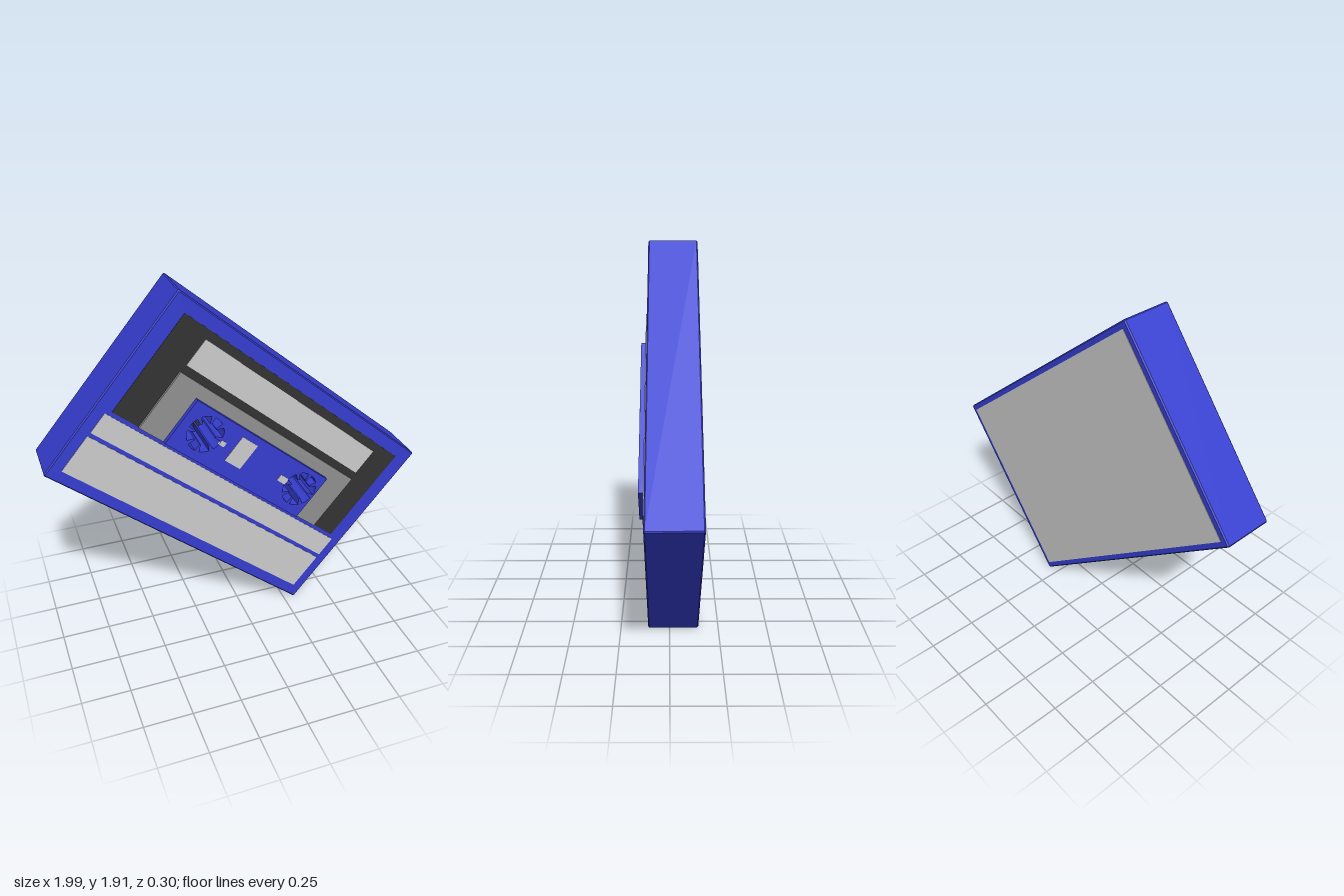
import * as THREE from 'three';

const BLUE = 0x363ed0, GREY = 0xcccccc, MID = 0x909090, DARK = 0x333333;
const HUBS = [{ x: -0.316, y: 0.04, turn: 0.2 }, { x: 0.352, y: 0.04, turn: 0 }];

const materials = {};
function material(color) {
  return materials[color] ??= new THREE.MeshStandardMaterial({ color, flatShading: true });
}

// Rectangle outline with lightly clipped corners
function rectangle(x0, x1, y0, y1, c = 0) {
  const points = c
    ? [[x0 + c, y0], [x1 - c, y0], [x1, y0 + c], [x1, y1 - c], [x1 - c, y1], [x0 + c, y1], [x0, y1 - c], [x0, y0 + c]]
    : [[x0, y0], [x1, y0], [x1, y1], [x0, y1]];
  return new THREE.Shape(points.map(([x, y]) => new THREE.Vector2(x, y)));
}

// Round clearance hole behind the spindle plate
function clearance({ x, y }) {
  return new THREE.Path().absarc(x, y, 0.112, 0, Math.PI * 2, true);
}

// Spindle hole with eight narrow teeth pointing inward
function toothedHole({ x, y, turn }) {
  const points = [], teeth = 8, step = Math.PI * 2 / teeth;
  const add = (r, a) => points.push(new THREE.Vector2(x + r * Math.cos(a), y + r * Math.sin(a)));
  for (let i = 0; i < teeth; i++) {
    const a = turn + i * step;
    add(0.058, a - 0.07);
    add(0.058, a + 0.07);
    for (let k = 0; k <= 4; k++) add(0.097, a + 0.12 + (step - 0.24) * k / 4);
  }
  return new THREE.Path(points.reverse());
}

function plate(name, shape, z0, z1, color, holes = [], bevel = 0) {
  shape.holes.push(...holes);
  const geometry = new THREE.ExtrudeGeometry(shape, {
    depth: z1 - z0 - 2 * bevel, curveSegments: 20, bevelEnabled: bevel > 0,
    bevelThickness: bevel, bevelSize: bevel, bevelOffset: -bevel, bevelSegments: 1,
  });
  geometry.translate(0, 0, z0 + bevel);
  const mesh = new THREE.Mesh(geometry, material(color));
  mesh.name = name;
  return mesh;
}

export function createModel() {
  const cassette = new THREE.Group();
  cassette.name = 'cassetteInCase';

  // Case with a light edge bevel, and its flush back panel
  cassette.add(
    plate('case', rectangle(-0.856, 0.856, -0.536, 0.536, 0.006), -0.148, 0.11, BLUE, HUBS.map(clearance), 0.006),
    plate('backPanel', rectangle(-0.823, 0.823, -0.503, 0.503), -0.15, -0.13, GREY),
  );

  // Dark cassette face, window and raised spindle plate
  cassette.add(
    plate('cassetteFace', rectangle(-0.767, 0.767, -0.103, 0.466), 0.1, 0.112, DARK, HUBS.map(clearance)),
    plate('middlePanel', rectangle(-0.612, 0.616, -0.103, 0.23), 0.1, 0.125, MID, HUBS.map(clearance)),
    plate('spindlePlate', rectangle(-0.464, 0.458, -0.101, 0.164), -0.1, 0.15, BLUE, HUBS.map(toothedHole)),
  );

  // Dark floors of the spindle holes
  for (const { x, y } of HUBS) {
    const floor = new THREE.Mesh(new THREE.CircleGeometry(0.11, 24), material(DARK));
    floor.name = 'spindleFloor';
    floor.position.set(x, y, -0.098);
    cassette.add(floor);
  }

  // Light inlays: label strip, two lower card strips, window and its marks
  const inlays = [
    ['labelStrip', -0.604, 0.617, 0.27, 0.42, 0.114],
    ['upperCardStrip', -0.793, 0.796, -0.24, -0.124, 0.112],
    ['lowerCardStrip', -0.796, 0.796, -0.474, -0.261, 0.112],
    ['tapeWindow', -0.135, -0.03, -0.025, 0.125, 0.152],
    ['leftMark', -0.22, -0.188, 0.03, 0.056, 0.152],
    ['rightMark', 0.198, 0.256, 0.022, 0.058, 0.152],
  ];
  for (const [name, x0, x1, y0, y1, z] of inlays) {
    cassette.add(plate(name, rectangle(x0, x1, y0, y1), z - 0.012, z, GREY));
  }

  // Tilt so the case stands on its lower corner
  cassette.rotation.z = -THREE.MathUtils.degToRad(40);
  cassette.position.y = 0.96;

  const model = new THREE.Group();
  model.name = 'cassetteModel';
  model.add(cassette);
  return model;
}
